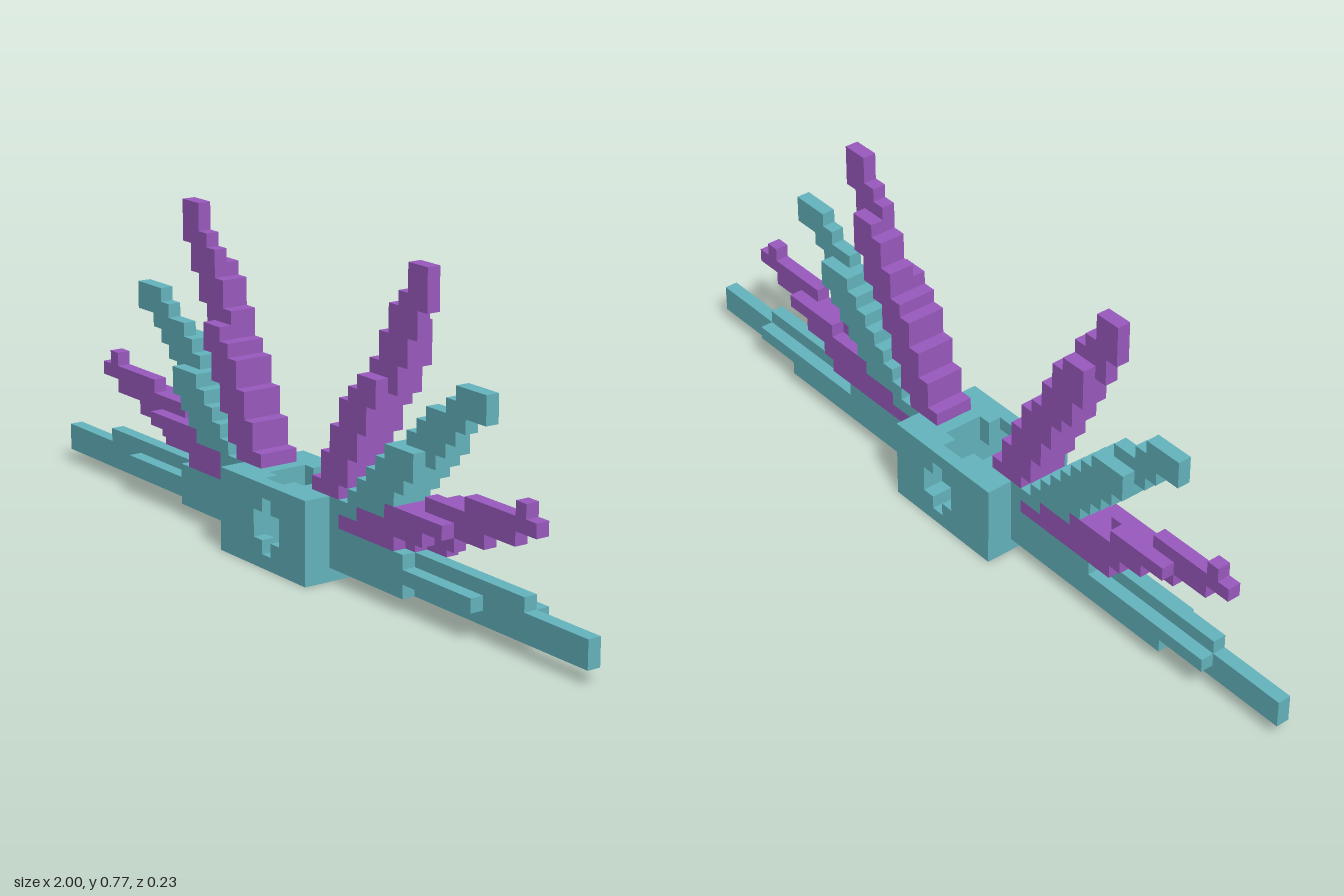
import * as THREE from 'three';
import { mergeGeometries } from 'three/addons/utils/BufferGeometryUtils.js';

const U = 1 / 30; // size of one block

const teal = new THREE.MeshStandardMaterial({ color: 0x64b4be });
teal.name = 'teal';
const purple = new THREE.MeshStandardMaterial({ color: 0x9a5abf });
purple.name = 'purple';

// One-block-thick stepped plate; rows are [x0, x1] from the row y0 upwards.
function steppedPlate(y0, rows, layer, side) {
  const pts = [];
  rows.forEach(([, x1], i) => pts.push([x1, y0 + i], [x1, y0 + i + 1]));
  for (let i = rows.length - 1; i >= 0; i--) {
    pts.push([rows[i][0], y0 + i + 1], [rows[i][0], y0 + i]);
  }
  const shape = new THREE.Shape(pts.map(([x, y]) => new THREE.Vector2(side * x * U, y * U)));
  const geometry = new THREE.ExtrudeGeometry(shape, { depth: U, bevelEnabled: false });
  return geometry.translate(0, 0, (layer - 0.5) * U);
}

// Rows of a slanting staircase, cut off at xMax.
function stairs(yStart, yEnd, xStart, slope, width, xMax) {
  const rows = [];
  for (let y = yStart; y < yEnd; y++) {
    const x0 = Math.round(xStart + (y - yStart) * slope);
    rows.push([x0, Math.min(x0 + width, xMax)]);
  }
  return rows;
}

const steep = (yEnd, xMax) => stairs(6, yEnd, 3, 0.57, 3, xMax);
const diagonal = (yEnd, xMax) => {
  const rows = stairs(4, yEnd, 4.5, 1.1, 4, xMax);
  rows[0] = [5, 6];
  rows[1] = [5, 8];
  return rows;
};

// Each blade has a long middle layer (0), a back layer (-1) and a short front layer (1).
const blades = [
  { name: 'steepBlade', material: purple, y0: 6,
    layers: { '-1': steep(19, 12), 0: steep(23, 14), 1: steep(15, 10) } },
  { name: 'diagonalBlade', material: teal, y0: 4,
    layers: { '-1': diagonal(13, 16), 0: diagonal(16, 20), 1: diagonal(11, 14) } },
  { name: 'shallowBlade', material: purple, y0: 4,
    layers: {
      '-1': [[6, 15], [8, 16], [11, 18], [15, 20]],
      0: [[6, 13], [8, 17], [11, 20], [14, 23], [18, 25], [23, 24]],
      1: [[6, 12], [8, 15], [11, 17]],
    } },
  { name: 'flatBlade', material: teal, y0: 1,
    layers: {
      '-1': [[5, 20], [5, 24], [5, 13]],
      0: [[5, 30], [5, 30], [5, 24]],
      1: [[5, 13], [5, 20], [5, 13]],
    } },
];

// Hub cells: a 10 x 6 x 7 block with cross-shaped shafts along z and y.
function hubSolid(x, y, z) {
  if (x < -5 || x > 4 || y < 0 || y > 5 || Math.abs(z) > 3) return false;
  const frontShaft = (x === 0 && y >= 1 && y <= 4) || (Math.abs(x) <= 1 && y >= 2 && y <= 3);
  const off = Math.abs(x + 0.5);
  const topShaft = (off < 1 && Math.abs(z) <= 2) || (off < 2 && Math.abs(z) <= 1);
  return !frontShaft && !topShaft;
}

// Only the outer faces of the hub cells.
function hubGeometry() {
  const dirs = [[1, 0, 0], [-1, 0, 0], [0, 1, 0], [0, -1, 0], [0, 0, 1], [0, 0, -1]];
  const forward = new THREE.Vector3(0, 0, 1);
  const faces = [];
  for (let x = -5; x < 5; x++) {
    for (let y = 0; y < 6; y++) {
      for (let z = -3; z <= 3; z++) {
        if (!hubSolid(x, y, z)) continue;
        for (const [dx, dy, dz] of dirs) {
          if (hubSolid(x + dx, y + dy, z + dz)) continue;
          const turn = new THREE.Quaternion().setFromUnitVectors(forward, new THREE.Vector3(dx, dy, dz));
          faces.push(new THREE.PlaneGeometry(U, U).applyQuaternion(turn).translate(
            (x + 0.5 + dx / 2) * U, (y + 0.5 + dy / 2) * U, (z + dz / 2) * U));
        }
      }
    }
  }
  return mergeGeometries(faces);
}

export function createModel() {
  const model = new THREE.Group();
  model.name = 'bladeFan';

  const hub = new THREE.Mesh(hubGeometry(), teal);
  hub.name = 'hub';
  model.add(hub);

  // Blades mirrored to both sides
  for (const side of [1, -1]) {
    for (const { name, material, y0, layers } of blades) {
      const parts = Object.entries(layers).map(([layer, rows]) =>
        steppedPlate(y0, rows, Number(layer), side));
      const blade = new THREE.Mesh(mergeGeometries(parts), material);
      blade.name = (side > 0 ? 'left ' : 'right ') + name;
      model.add(blade);
    }
  }
  return model;
}
